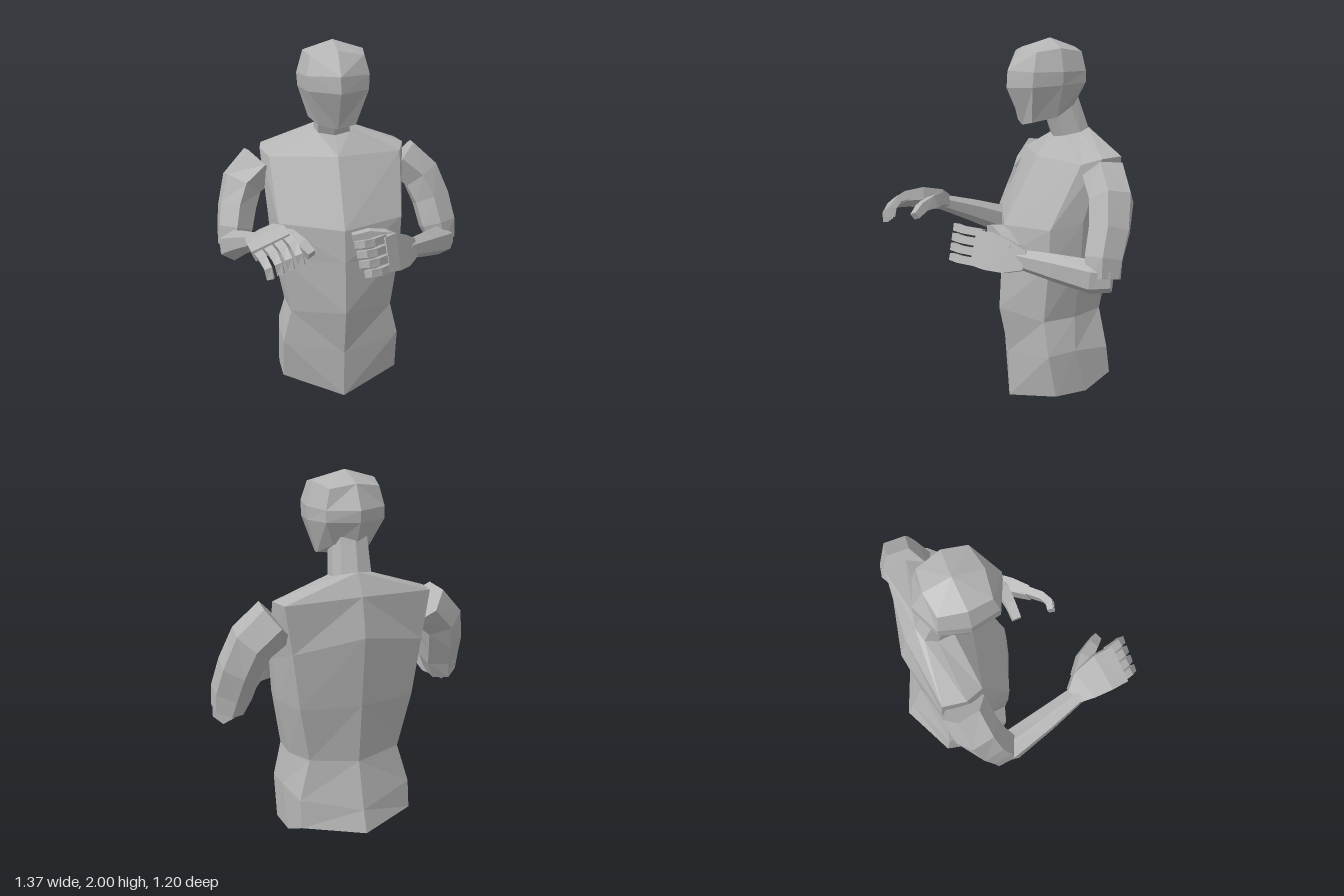
import * as THREE from 'three';

const grey = new THREE.MeshStandardMaterial({ color: 0xb4b4b4 });
grey.name = 'plain grey';

const V = (p) => new THREE.Vector3(p[0], p[1], p[2]);

// Skin a stack of equal-length rings with faceted quads and close both ends.
function loft(name, rings, startCentre, endCentre) {
  const pos = [];
  const tri = (...ps) => ps.forEach((p) => pos.push(p.x, p.y, p.z));
  const middle = (ring) => ring.reduce((s, p) => s.add(p), new THREE.Vector3()).divideScalar(ring.length);
  const n = rings[0].length;
  for (let i = 0; i < rings.length - 1; i++) {
    for (let j = 0; j < n; j++) {
      const k = (j + 1) % n;
      const a = rings[i][j], b = rings[i][k], c = rings[i + 1][k], d = rings[i + 1][j];
      // the diagonals of the two halves mirror each other
      if (j < n / 2) {
        tri(a, b, c);
        tri(a, c, d);
      } else {
        tri(a, b, d);
        tri(b, c, d);
      }
    }
  }
  const first = rings[0], last = rings[rings.length - 1];
  const s = startCentre || middle(first), e = endCentre || middle(last);
  for (let j = 0; j < n; j++) {
    const k = (j + 1) % n;
    tri(s, first[k], first[j]);
    tri(e, last[j], last[k]);
  }
  const geo = new THREE.BufferGeometry();
  geo.setAttribute('position', new THREE.Float32BufferAttribute(pos, 3));
  geo.computeVertexNormals();
  const mesh = new THREE.Mesh(geo, grey);
  mesh.name = name;
  return mesh;
}

// Mirror a half outline (front centre round to back centre) into a full ring.
function mirrored(half, cx) {
  const left = half.slice(1, -1).reverse().map(([x, y, z]) => [-x, y, z]);
  return [...half, ...left].map(([x, y, z]) => new THREE.Vector3(x + cx, y, z));
}

// Limb along a path; each stop is [x, y, z, half width, half depth along up].
function limb(name, stops, up, sides) {
  const pts = stops.map(V);
  const upV = V(up);
  const turn = Math.PI / sides;
  const grow = sides === 4 ? Math.SQRT2 : 1.06;
  const rings = stops.map((s, i) => {
    const t = pts[Math.min(i + 1, pts.length - 1)].clone().sub(pts[Math.max(i - 1, 0)]).normalize();
    const v = upV.clone().addScaledVector(t, -upV.dot(t)).normalize();
    const u = v.clone().cross(t);
    return Array.from({ length: sides }, (_, j) => {
      const a = turn + (j / sides) * Math.PI * 2;
      return pts[i].clone()
        .addScaledVector(u, Math.cos(a) * s[3] * grow)
        .addScaledVector(v, Math.sin(a) * s[4] * grow);
    });
  });
  return loft(name, rings);
}

export function createModel() {
  const model = new THREE.Group();
  model.name = 'mannequinBust';

  // Torso, pelvis up to the base of the neck
  const collar = [[0, 1.47, -0.25], [0.09, 1.485, -0.27], [0.1, 1.5, -0.36], [0.08, 1.52, -0.42], [0, 1.53, -0.44]];
  const torso = [
    [[0, 0.005, 0.01], [0.33, 0.1, -0.13], [0.33, 0.11, -0.31], [0.31, 0.19, -0.46], [0, 0.165, -0.595]],
    [[0, 0.27, 0.015], [0.33, 0.33, -0.085], [0.335, 0.35, -0.24], [0.31, 0.34, -0.44], [0, 0.28, -0.555]],
    [[0, 0.53, 0.07], [0.285, 0.515, -0.075], [0.3, 0.53, -0.25], [0.25, 0.55, -0.42], [0, 0.53, -0.485]],
    [[0, 0.82, 0.055], [0.335, 0.83, -0.08], [0.365, 0.84, -0.25], [0.31, 0.85, -0.45], [0, 0.85, -0.51]],
    [[0, 1.0, 0.04], [0.345, 1.03, -0.08], [0.385, 1.07, -0.25], [0.35, 1.15, -0.46], [0, 1.22, -0.54]],
    [[0, 1.37, -0.15], [0.37, 1.37, -0.24], [0.41, 1.4, -0.34], [0.39, 1.405, -0.46], [0, 1.42, -0.5]],
    collar,
  ].map((h) => mirrored(h, -0.025));
  model.add(loft('torso', torso, new THREE.Vector3(-0.025, 0.035, -0.27)));

  // Neck, leaning forward into the head
  const neckTop = [[0, 1.58, -0.21], [0.085, 1.6, -0.23], [0.09, 1.65, -0.31], [0.07, 1.7, -0.36], [0, 1.7, -0.38]];
  model.add(loft('neck', [mirrored(collar, -0.025), mirrored(neckTop, -0.035)]));

  // Head
  const head = [
    [[0, 1.54, -0.07], [0.1, 1.56, -0.085], [0.14, 1.59, -0.215], [0.1, 1.65, -0.33], [0, 1.67, -0.39]],
    [[0, 1.74, 0.02], [0.165, 1.75, -0.06], [0.195, 1.76, -0.22], [0.155, 1.77, -0.37], [0, 1.77, -0.43]],
    [[0, 1.83, 0.015], [0.17, 1.83, -0.065], [0.2, 1.83, -0.22], [0.155, 1.83, -0.37], [0, 1.83, -0.435]],
    [[0, 1.955, -0.07], [0.145, 1.93, -0.09], [0.165, 1.95, -0.22], [0.13, 1.93, -0.355], [0, 1.95, -0.375]],
  ].map((h) => mirrored(h, -0.04));
  model.add(loft('head', head, new THREE.Vector3(-0.04, 1.61, -0.22), new THREE.Vector3(-0.04, 2, -0.23)));

  const forward = [0, 0, 1], upward = [0, 1, 0];

  // Arm on the +x side, folded across the body
  const leftArm = new THREE.Group();
  leftArm.name = 'leftArm';
  leftArm.add(
    limb('leftUpperArm', [
      [0.375, 1.31, -0.36, 0.12, 0.115], [0.495, 1.205, -0.34, 0.115, 0.115],
      [0.55, 1.07, -0.305, 0.108, 0.108], [0.58, 0.93, -0.26, 0.105, 0.1],
      [0.605, 0.83, -0.25, 0.08, 0.09],
    ], forward, 6),
    limb('leftForearm', [
      [0.635, 0.84, -0.28, 0.06, 0.07], [0.58, 0.84, -0.2, 0.08, 0.085],
      [0.45, 0.87, -0.05, 0.058, 0.07], [0.31, 0.895, 0.09, 0.038, 0.05],
    ], upward, 6),
  );
  const lean = [-0.17, 1, -0.2];
  leftArm.add(
    limb('leftPalm', [
      [0.34, 0.89, 0.06, 0.035, 0.05], [0.27, 0.9, 0.13, 0.04, 0.085],
      [0.2, 0.92, 0.2, 0.038, 0.1], [0.135, 0.93, 0.265, 0.028, 0.092],
    ], lean, 4),
    limb('leftThumb', [
      [0.28, 0.93, 0.11, 0.03, 0.04], [0.18, 0.985, 0.125, 0.035, 0.035],
      [0.09, 1.005, 0.125, 0.028, 0.026], [0.0, 0.99, 0.125, 0.024, 0.022],
    ], upward, 4),
  );
  for (let i = 0; i < 4; i++) {
    const y = 0.857 + i * 0.05;
    const x = (1.5 - i) * 0.01;
    const z = (1.5 - i) * 0.012;
    const reach = i === 0 ? 0.02 : 0;
    leftArm.add(limb('leftFinger', [
      [0.16 + x, y, 0.24 + z, 0.022, 0.021], [0.08 + x, y + 0.008, 0.32 + z, 0.021, 0.02],
      [0.03 + x, y + 0.012, 0.342 + z, 0.02, 0.019], [-0.015 + x + reach, y + 0.006, 0.33 + z, 0.017, 0.017],
    ], lean, 4));
  }
  model.add(leftArm);

  // Arm on the -x side, reaching forward with the palm down
  const rightArm = new THREE.Group();
  rightArm.name = 'rightArm';
  rightArm.add(
    limb('rightUpperArm', [
      [-0.43, 1.31, -0.36, 0.12, 0.115], [-0.54, 1.205, -0.335, 0.115, 0.115],
      [-0.575, 1.08, -0.295, 0.108, 0.108], [-0.595, 0.97, -0.25, 0.1, 0.1],
      [-0.62, 0.87, -0.23, 0.075, 0.09],
    ], forward, 6),
    limb('rightForearm', [
      [-0.625, 0.88, -0.26, 0.05, 0.06], [-0.615, 0.89, -0.18, 0.078, 0.08],
      [-0.575, 0.975, 0.04, 0.065, 0.06], [-0.53, 1.05, 0.25, 0.048, 0.04],
    ], upward, 6),
  );
  const tilt = [-0.4, 1, 0];
  rightArm.add(
    limb('rightPalm', [
      [-0.53, 1.045, 0.22, 0.045, 0.035], [-0.5, 1.07, 0.29, 0.085, 0.042],
      [-0.485, 1.095, 0.4, 0.102, 0.036], [-0.475, 1.09, 0.5, 0.102, 0.028],
    ], tilt, 4),
    limb('rightThumb', [
      [-0.45, 1.08, 0.28, 0.035, 0.035], [-0.37, 1.08, 0.35, 0.036, 0.035],
      [-0.32, 1.065, 0.42, 0.028, 0.026], [-0.28, 1.03, 0.47, 0.022, 0.02],
    ], tilt, 4),
  );
  for (let i = 0; i < 4; i++) {
    const x = -0.548 + i * 0.05;
    const y = 1.065 + i * 0.02;
    rightArm.add(limb('rightFinger', [
      [x, y, 0.47, 0.022, 0.022], [x + 0.02, y - 0.015, 0.54, 0.021, 0.021],
      [x + 0.04, y - 0.055, 0.575, 0.019, 0.019], [x + 0.05, y - 0.105, 0.582, 0.017, 0.016],
    ], [-0.4, 1, 0.6], 4));
  }
  model.add(rightArm);

  return model;
}
